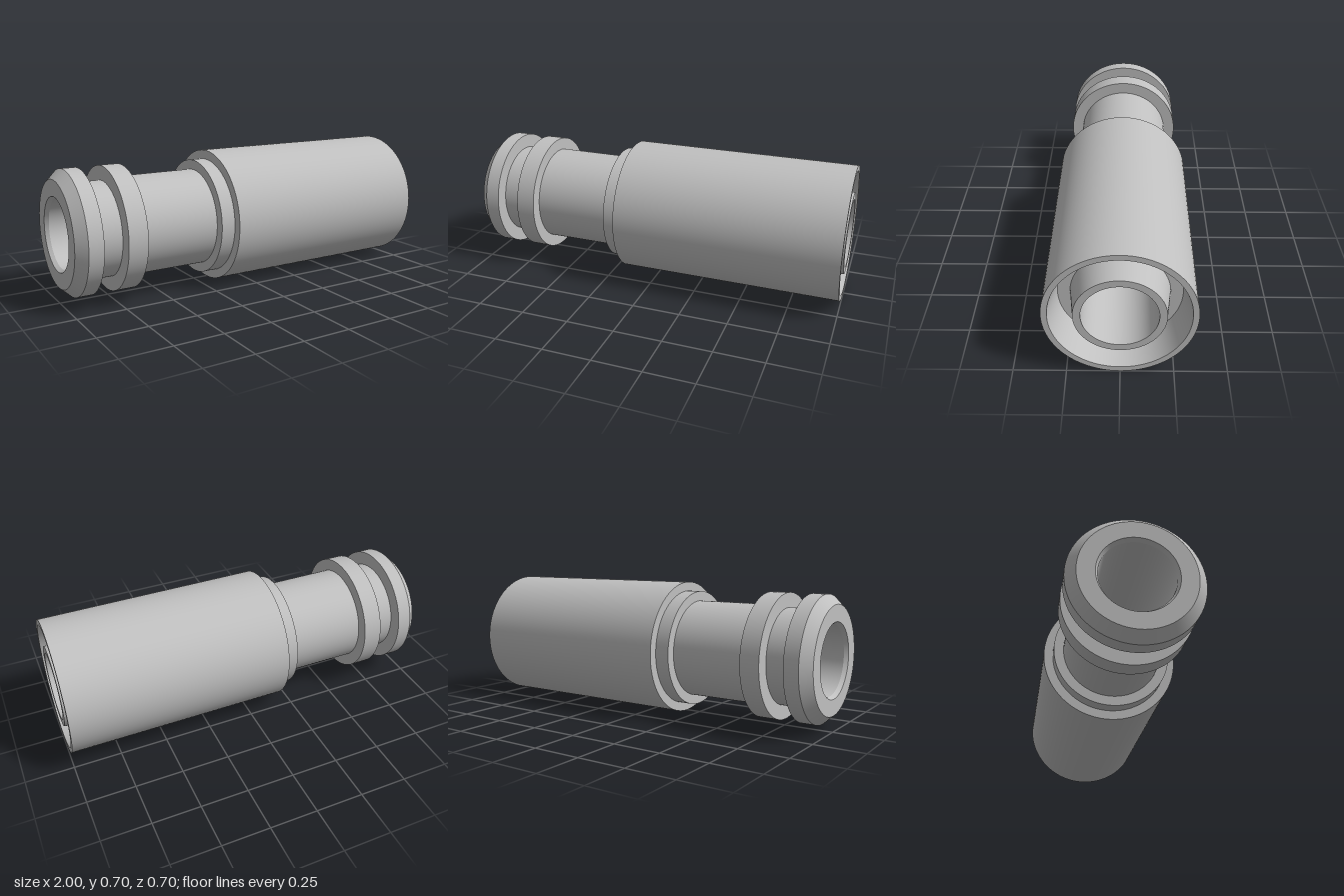
import * as THREE from 'three';
import { mergeGeometries } from 'three/addons/utils/BufferGeometryUtils.js';

const SEGMENTS = 96;
const AXIS_HEIGHT = 0.35;

// Turn a profile of [x, radius] points about the x axis; each span is its own band, so edges stay sharp.
function turned(name, profile, material) {
  const bands = [];
  for (let i = 0; i < profile.length - 1; i++) {
    const span = [profile[i], profile[i + 1]].map(([x, r]) => new THREE.Vector2(r, x));
    bands.push(new THREE.LatheGeometry(span, SEGMENTS));
  }
  const geometry = mergeGeometries(bands);
  geometry.rotateZ(-Math.PI / 2);
  const mesh = new THREE.Mesh(geometry, material);
  mesh.name = name;
  return mesh;
}

export function createModel() {
  const steel = new THREE.MeshStandardMaterial({ color: 0xc0c0c0 });
  steel.name = 'steel grey';

  const group = new THREE.Group();
  group.name = 'pipeFitting';
  const add = (name, profile) => {
    const mesh = turned(name, profile, steel);
    mesh.position.y = AXIS_HEIGHT;
    group.add(mesh);
  };

  // Chamfered end flange with countersunk mouth
  add('endFlange', [[-0.98, 0.175], [-1, 0.187], [-1, 0.27], [-0.95, 0.317], [-0.875, 0.317], [-0.875, 0.243]]);
  // Groove between the two flanges
  add('groove', [[-0.875, 0.243], [-0.755, 0.243]]);
  // Second flange
  add('innerFlange', [[-0.755, 0.243], [-0.755, 0.317], [-0.655, 0.317], [-0.655, 0.253]]);
  // Plain neck
  add('neck', [[-0.655, 0.253], [-0.245, 0.253]]);
  // Stepped collar
  add('collar', [[-0.245, 0.253], [-0.245, 0.303], [-0.17, 0.303]]);
  // Large sleeve with tapered socket wall and socket floor
  add('sleeve', [[-0.17, 0.303], [-0.17, 0.35], [1, 0.35], [1, 0.322], [0.84, 0.288], [0.84, 0.23]]);
  // Tapered nose standing inside the socket
  add('nose', [[0.84, 0.23], [1, 0.21], [1, 0.175]]);
  // Through bore
  add('bore', [[1, 0.175], [-0.98, 0.175]]);

  return group;
}
